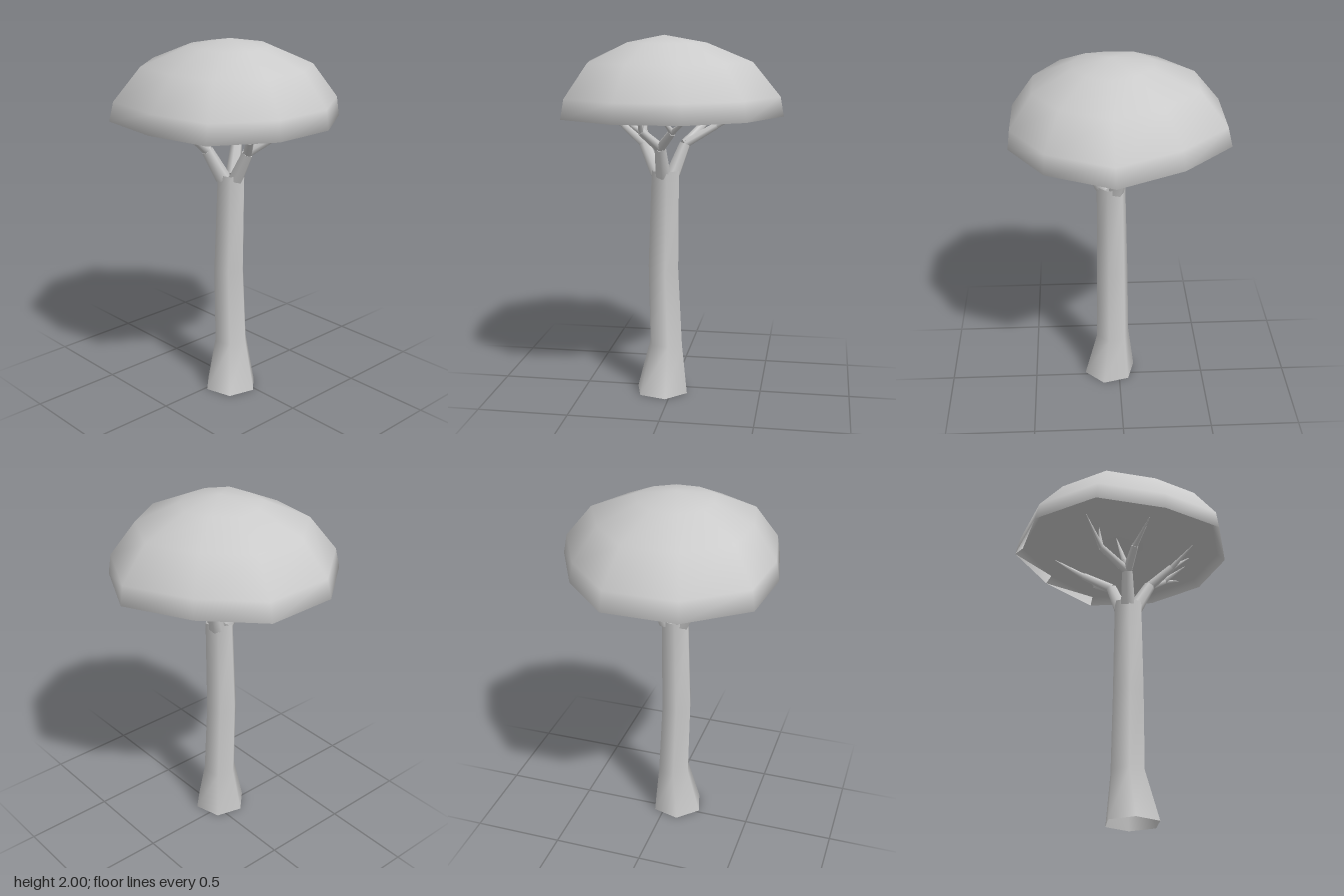
import * as THREE from 'three';

const material = new THREE.MeshStandardMaterial({ color: 0xcccccc });
const openMaterial = new THREE.MeshStandardMaterial({ color: 0xcccccc, side: THREE.DoubleSide });

// Smooth surface through rings listed from bottom to top; a ring of one point closes an end.
function loft(name, rings, mat) {
  const n = Math.max(...rings.map((ring) => ring.length));
  const starts = [];
  let count = 0;
  for (const ring of rings) {
    starts.push(count);
    count += ring.length;
  }
  const at = (i, j) => starts[i] + (j % rings[i].length);
  const index = [];
  for (let i = 0; i < rings.length - 1; i++) {
    for (let j = 0; j < n; j++) {
      if (rings[i].length > 1) index.push(at(i, j), at(i + 1, j), at(i, j + 1));
      if (rings[i + 1].length > 1) index.push(at(i, j + 1), at(i + 1, j), at(i + 1, j + 1));
    }
  }
  const geometry = new THREE.BufferGeometry();
  geometry.setAttribute('position', new THREE.Float32BufferAttribute(rings.flat(2), 3));
  geometry.setIndex(index);
  geometry.computeVertexNormals();
  const mesh = new THREE.Mesh(geometry, mat);
  mesh.name = name;
  return mesh;
}

// Tapered six-sided limb between two points.
function limb(name, from, to, r0, r1) {
  const a = new THREE.Vector3(...from);
  const b = new THREE.Vector3(...to);
  const dir = b.clone().sub(a);
  const mesh = new THREE.Mesh(new THREE.CylinderGeometry(r1, r0, dir.length(), 6), material);
  mesh.position.copy(a).add(b).multiplyScalar(0.5);
  mesh.quaternion.setFromUnitVectors(new THREE.Vector3(0, 1, 0), dir.normalize());
  mesh.name = name;
  return mesh;
}

// Six-sided trunk, flared at the foot and open at both ends.
function makeTrunk() {
  // height, centre x, centre z, radius
  const sections = [
    [0, -0.057, 0.055, 0.153],
    [0.28, -0.038, 0.036, 0.098],
    [0.72, -0.053, 0.036, 0.091],
    [1.27, -0.04, 0.042, 0.082],
  ];
  const rings = sections.map(([y, cx, cz, r]) =>
    Array.from({ length: 6 }, (_, k) => {
      const a = Math.PI / 12 + (k * Math.PI) / 3;
      return [cx + r * Math.cos(a), y, cz + r * Math.sin(a)];
    }));
  return loft('trunk', rings, openMaterial);
}

// Domed crown with a hollowed underside.
function makeCanopy() {
  // rim outline as x, z
  const rim = [
    [0.6, 0.04], [0.43, 0.39], [0.13, 0.58], [-0.22, 0.58], [-0.53, 0.39],
    [-0.6, 0.04], [-0.56, -0.34], [-0.25, -0.58], [0.15, -0.58], [0.42, -0.31],
  ];
  // height, scale of the rim, shift in x and z
  const sections = [
    [1.615, 0.93, 0, 0],
    [1.575, 1, 0, 0],
    [1.68, 0.968, 0, 0.006],
    [1.86, 0.74, -0.012, 0.017],
    [1.96, 0.36, -0.03, 0.03],
  ];
  const rings = sections.map(([y, s, dx, dz]) => rim.map(([x, z]) => [x * s + dx, y, z * s + dz]));
  return loft('canopy', [[[-0.03, 1.64, 0.02]], ...rings, [[-0.045, 2, 0.04]]], material);
}

// Three main branches, each forking twice: root, fork, then [node, tip, tip] shoots.
const BRANCHES = [
  {
    root: [0, 1.25, 0.015], fork: [0.06, 1.41, -0.02],
    shoots: [
      [[0.23, 1.51, -0.05], [0.43, 1.61, 0], [0.32, 1.62, -0.1]],
      [[0.15, 1.51, -0.16], [0.26, 1.62, -0.25], [0.21, 1.62, -0.32]],
    ],
  },
  {
    root: [-0.085, 1.25, 0.025], fork: [-0.165, 1.41, -0.01],
    shoots: [
      [[-0.2, 1.51, -0.18], [-0.32, 1.62, -0.31], [-0.22, 1.62, -0.2]],
      [[-0.28, 1.51, -0.01], [-0.45, 1.6, 0.01], [-0.33, 1.62, 0.04]],
      [[-0.17, 1.47, -0.03], [-0.15, 1.62, -0.07]],
    ],
  },
  {
    root: [-0.045, 1.25, 0.085], fork: [-0.045, 1.41, 0.175],
    shoots: [
      [[0.04, 1.51, 0.3], [0.15, 1.6, 0.45], [-0.01, 1.61, 0.42]],
      [[-0.13, 1.51, 0.28], [-0.25, 1.61, 0.36], [-0.11, 1.61, 0.4]],
    ],
  },
];

export function createModel() {
  const tree = new THREE.Group();
  tree.name = 'tree';
  tree.add(makeTrunk(), makeCanopy());
  for (const { root, fork, shoots } of BRANCHES) {
    const branch = new THREE.Group();
    branch.name = 'branch';
    branch.add(limb('mainBranch', root, fork, 0.042, 0.032));
    for (const [node, ...tips] of shoots) {
      branch.add(limb('sideBranch', fork, node, 0.027, 0.021));
      for (const tip of tips) branch.add(limb('twig', node, tip, 0.017, 0.002));
    }
    tree.add(branch);
  }
  return tree;
}
